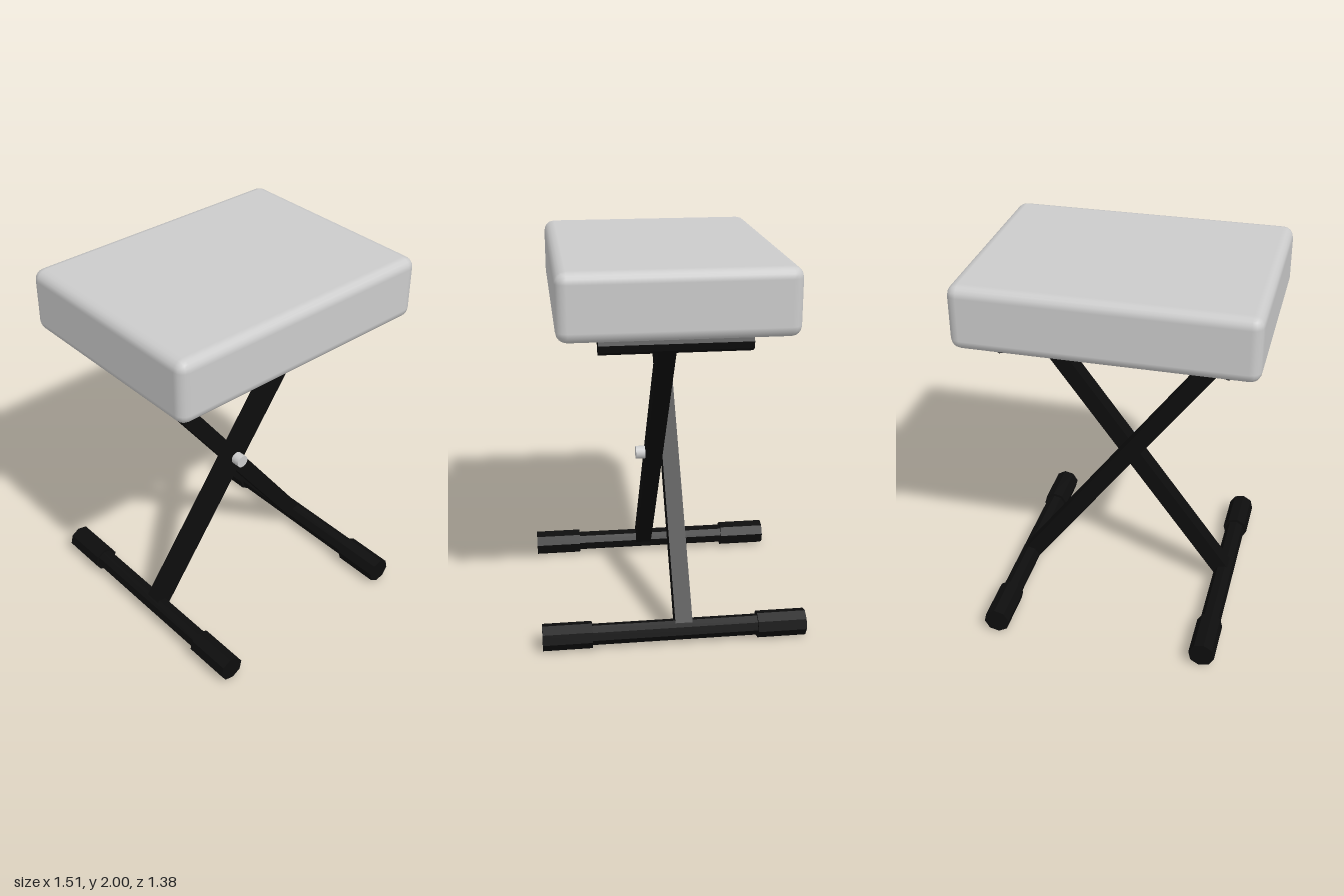
import * as THREE from 'three';
import { RoundedBoxGeometry } from 'three/addons/geometries/RoundedBoxGeometry.js';

export function createModel() {
  const model = new THREE.Group();
  const grey = new THREE.MeshStandardMaterial({ color: 0xcccccc });
  const black = new THREE.MeshStandardMaterial({ color: 0x0d0d0d, flatShading: true });

  const add = (parent, name, geometry, material, x, y, z) => {
    const mesh = new THREE.Mesh(geometry, material);
    mesh.name = name;
    mesh.position.set(x, y, z);
    parent.add(mesh);
    return mesh;
  };
  // Cylinder lying along z
  const rod = (radius, length, sides = 8) =>
    new THREE.CylinderGeometry(radius, radius, length, sides).rotateX(Math.PI / 2);

  // Padded seat
  add(model, 'seat', new RoundedBoxGeometry(1.51, 0.335, 1.155, 2, 0.055), grey, 0, 1.8325, 0);

  // Crossed frame: each half has a leg, an upper rail, a floor rail and two foot caps
  const halves = [
    { name: 'frontFrame', bottom: [-0.557, 0.07], top: [0.568, 1.613], z: 0.045 },
    { name: 'backFrame', bottom: [0.577, 0.07], top: [-0.575, 1.613], z: -0.045 },
  ];
  for (const { name, bottom, top, z } of halves) {
    const frame = new THREE.Group();
    frame.name = name;
    model.add(frame);
    const dx = top[0] - bottom[0], dy = top[1] - bottom[1];
    const angle = Math.atan2(dy, dx);

    const parts = [
      add(frame, 'leg', new THREE.BoxGeometry(Math.hypot(dx, dy), 0.09, 0.09), black,
        (top[0] + bottom[0]) / 2, (top[1] + bottom[1]) / 2, z),
      add(frame, 'upperRail', rod(0.048, 0.75), black, ...top, 0),
      add(frame, 'floorRail', rod(0.055, 1.3), black, ...bottom, 0),
    ];
    for (const side of [1, -1])
      parts.push(add(frame, 'footCap', rod(0.07, 0.256), black, ...bottom, side * 0.56));
    for (const part of parts) part.rotation.z = angle;
  }

  // Pivot bolt at the crossing
  add(model, 'pivotBolt', rod(0.035, 0.08, 16), grey, 0, 0.845, 0.1);

  return model;
}
